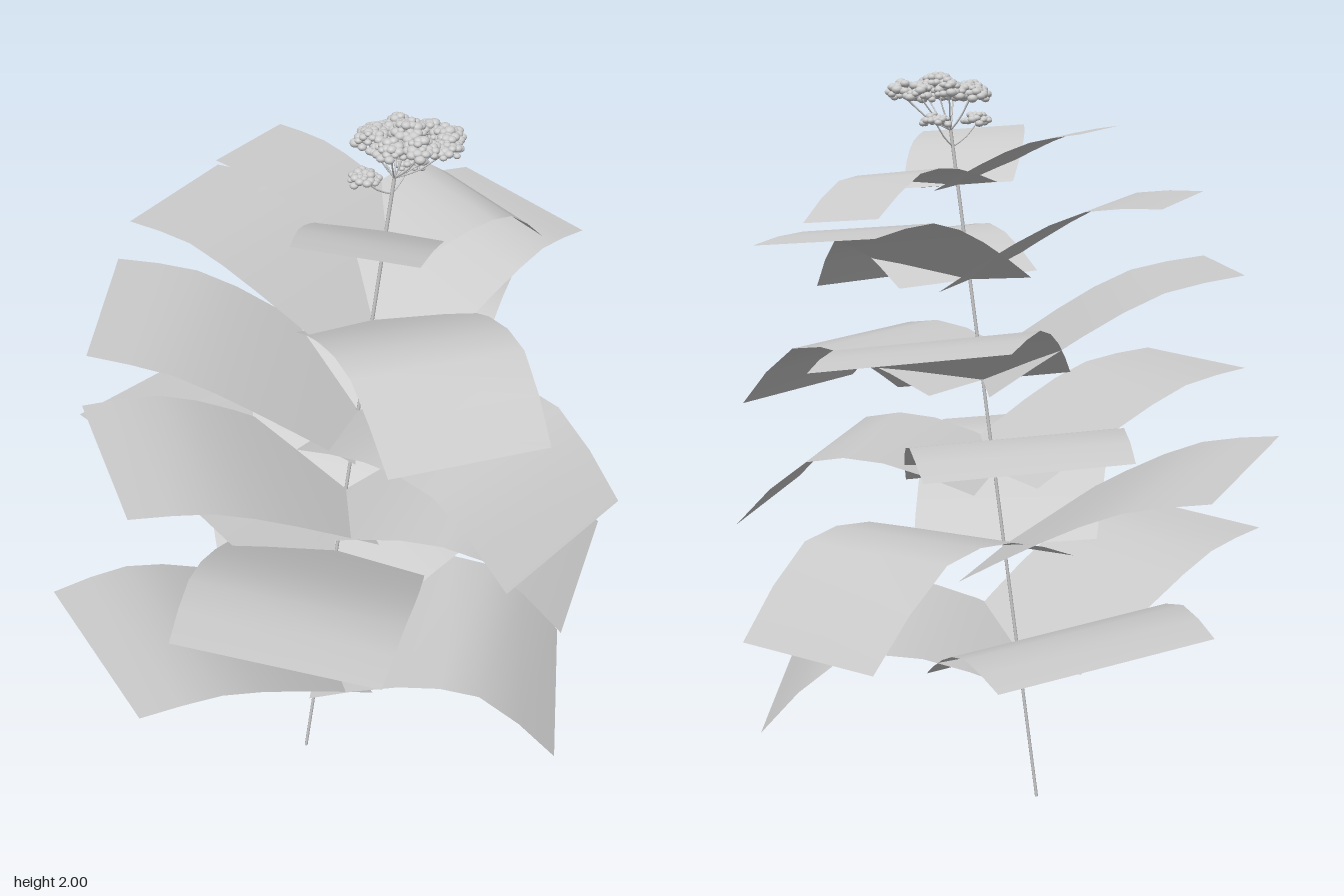
import * as THREE from 'three';
import { mergeGeometries } from 'three/addons/utils/BufferGeometryUtils.js';

const V = (x, y, z) => new THREE.Vector3(x, y, z);
const stemAt = (y) => V(-0.11 + 0.118 * y, y, 0.05 - 0.037 * y);

// Whorls of three leaves; each leaf: tip x, y, z, arch lift, sideways roll
const WHORLS = [
  { base: 1.725, width: 0.28, leaves: [
    [-0.275, 1.867, -0.105, 0.025, -0.01], [0.125, 1.85, 0.367, 0.02, 0.02], [0.315, 1.662, -0.33, 0.075, -0.03]] },
  { base: 1.485, width: 0.40, leaves: [
    [0.412, 1.42, 0.43, 0.13, 0.02], [-0.48, 1.705, -0.115, 0.06, -0.01], [0.338, 1.63, -0.487, 0.065, -0.045]] },
  { base: 1.22, width: 0.467, leaves: [
    [-0.575, 1.515, 0.16, 0.055, 0.01], [0.082, 1.39, -0.645, 0.068, -0.065], [0.62, 1.117, 0.275, 0.145, 0]] },
  { base: 0.97, width: 0.475, leaves: [
    [-0.5, 1.222, 0.395, 0.055, 0.025], [-0.185, 1.145, -0.61, 0.085, -0.03], [0.647, 0.85, 0.045, 0.148, 0]] },
  { base: 0.76, width: 0.50, leaves: [
    [-0.66, 1.065, -0.19, 0.05, -0.05], [0.037, 0.965, 0.71, 0.07, 0.05], [0.37, 0.64, -0.55, 0.175, -0.06]] },
  { base: 0.45, width: 0.52, leaves: [
    [-0.51, 0.72, 0.547, 0.065, 0.03], [-0.367, 0.7, -0.612, 0.075, -0.075], [0.61, 0.32, -0.068, 0.172, 0]] },
];

// Arched strip whose base edge crosses the stem
function leafGeometry(baseY, width, [x, y, z, lift, roll]) {
  const base = stemAt(baseY), tip = V(x, y, z);
  const across = V(base.z - z, 0, x - base.x).setLength(width).setY(roll);
  const station = (t, rise) => base.clone().lerp(tip, t).add(V(0, rise, 0));
  const curve = new THREE.CatmullRomCurve3(
    [base, station(0.36, 0.8 * lift), station(0.68, lift), tip]);
  const steps = 6, pos = [], idx = [];
  for (let i = 0; i <= steps; i++) {
    const t = i / steps;
    const p = curve.getPoint(t);
    const half = 0.5 * (1 + 0.08 * Math.sin(Math.PI * t));
    for (const s of [-half, half]) pos.push(...p.clone().addScaledVector(across, s).toArray());
    if (i < steps) {
      const k = 2 * i;
      idx.push(k, k + 1, k + 2, k + 1, k + 3, k + 2);
    }
  }
  const g = new THREE.BufferGeometry();
  g.setAttribute('position', new THREE.Float32BufferAttribute(pos, 3));
  g.setIndex(idx);
  g.computeVertexNormals();
  return g;
}

function makeRandom(seed) {
  return () => (seed = (seed * 16807) % 2147483647) / 2147483647;
}

// Thin, slightly sagging stalk
function twig(from, to, r) {
  const mid = from.clone().lerp(to, 0.5);
  mid.y -= from.distanceTo(to) * 0.08;
  return new THREE.TubeGeometry(new THREE.CatmullRomCurve3([from, mid, to]), 4, r, 5);
}

// Domed cluster of small florets
function umbel(center, radius, height, count, size, rnd) {
  const parts = [];
  for (let i = 0; i < count; i++) {
    const r = Math.sqrt((i + 0.5) / count), ang = i * 2.39996;
    const g = new THREE.IcosahedronGeometry(size * (0.75 + 0.5 * rnd()), 1);
    g.scale(1, 0.75, 1);
    g.rotateY(rnd() * 6.28);
    g.translate(
      center.x + radius * r * Math.cos(ang),
      center.y + height * (1 - r * r) + (rnd() - 0.5) * size,
      center.z + radius * r * Math.sin(ang));
    parts.push(g);
  }
  return mergeGeometries(parts);
}

export function createModel() {
  const plant = new THREE.Group();
  plant.name = 'plant';
  const grey = new THREE.MeshStandardMaterial({ color: 0xcccccc, side: THREE.DoubleSide });
  grey.name = 'pale grey';
  const add = (geometry, name) => {
    const mesh = new THREE.Mesh(geometry, grey);
    mesh.name = name;
    plant.add(mesh);
  };

  // Slanted main stem
  const stemTop = stemAt(1.86);
  add(new THREE.TubeGeometry(new THREE.LineCurve3(stemAt(0), stemTop), 8, 0.0045, 8), 'stem');

  for (const { base, width, leaves } of WHORLS) {
    for (const leaf of leaves) add(leafGeometry(base, width, leaf), 'leaf');
  }

  // Flower head: a broad cap built from overlapping domes
  const rnd = makeRandom(7);
  const domes = [V(0.14, 1.963, -0.03)];
  for (let i = 0; i < 8; i++) {
    const a = (i / 8) * Math.PI * 2 + 0.3;
    domes.push(V(0.14 + 0.09 * Math.cos(a), 1.938 + 0.008 * (i % 2), -0.03 + 0.066 * Math.sin(a)));
  }
  for (const c of domes) {
    add(umbel(c, 0.04, 0.03, 34, 0.0115, rnd), 'flowerDome');
    add(twig(stemTop, c, 0.002), 'flowerStalk');
  }

  // Two smaller side clusters below the cap
  for (const c of [V(0.055, 1.877, 0.05), V(0.135, 1.877, -0.07)]) {
    add(umbel(c, 0.036, 0.02, 30, 0.0095, rnd), 'sideFlower');
    add(twig(stemAt(1.82), c, 0.002), 'sideStalk');
  }

  return plant;
}
